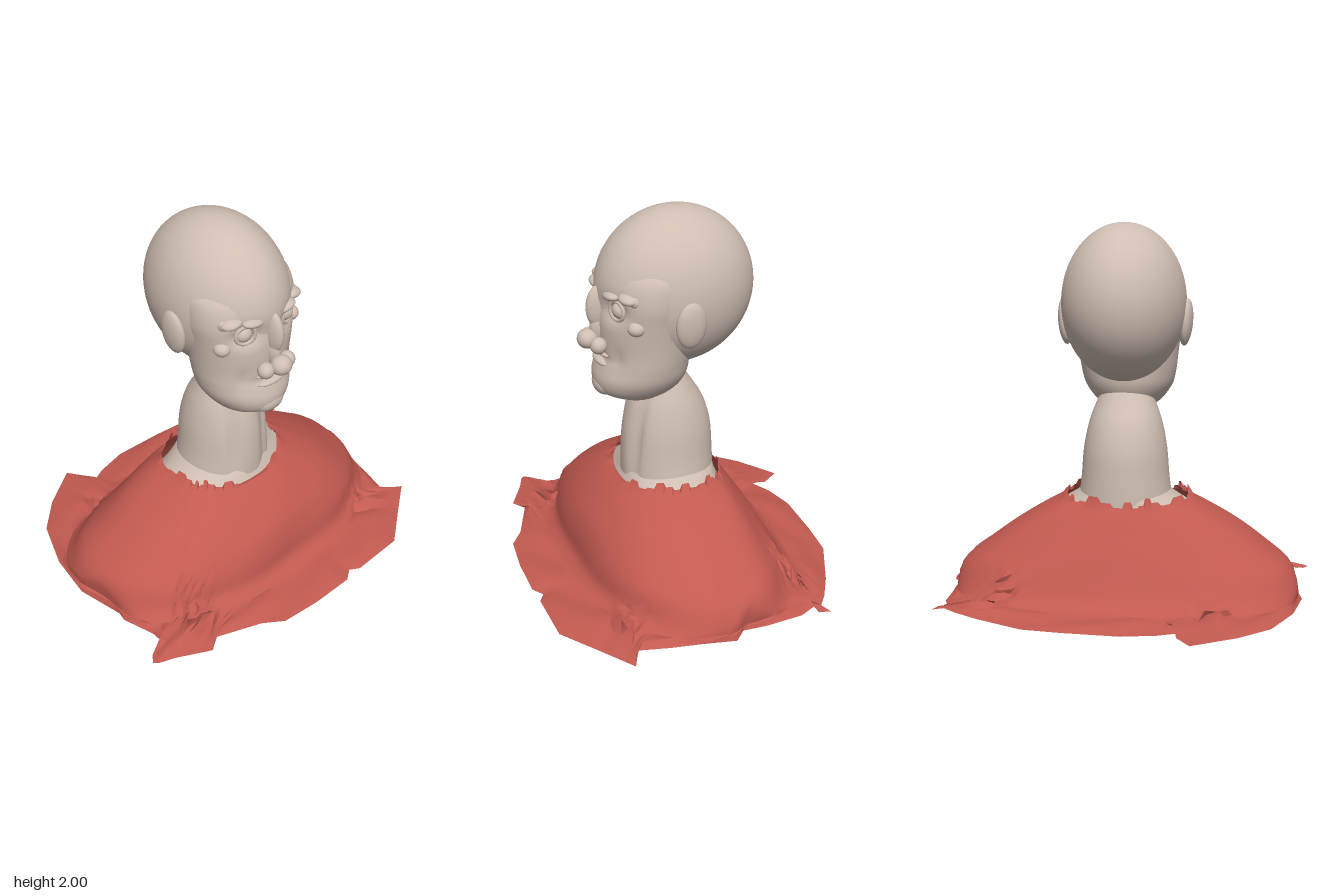
import * as THREE from 'three';
import { toCreasedNormals } from 'three/addons/utils/BufferGeometryUtils.js';

const CX = 0.012; // the figure sits a hair off centre
const skin = new THREE.MeshStandardMaterial({ color: 0xcfbeb2 });
skin.name = 'clay skin';
const red = new THREE.MeshStandardMaterial({ color: 0xc25a50, side: THREE.DoubleSide });
red.name = 'red cloth';

let seed = 7;
const rand = () => ((seed = (seed * 16807) % 2147483647) / 2147483647) * 2 - 1;

// Grid of points, rows running bottom to top, each row a closed loop from +x toward +z
function grid(rows) {
  const n = rows[0].length, pos = rows.flat(2), idx = [];
  for (let j = 0; j < rows.length - 1; j++) {
    for (let i = 0; i < n; i++) {
      const a = j * n + i, b = j * n + ((i + 1) % n);
      idx.push(a, a + n, b, b, a + n, b + n);
    }
  }
  const g = new THREE.BufferGeometry();
  g.setAttribute('position', new THREE.Float32BufferAttribute(pos, 3));
  g.setIndex(idx);
  g.computeVertexNormals();
  return g;
}

// Loft through oval sections [y, half width, front z, back z]
function loft(sections, n = 64) {
  return grid(sections.map(([y, w, f, b]) => Array.from({ length: n }, (_, i) => {
    const t = (i / n) * Math.PI * 2;
    return [CX + w * Math.cos(t), y, (f + b) / 2 + ((f - b) / 2) * Math.sin(t)];
  })));
}

// Smooth in-between sections
function refine(sections, k = 4) {
  const out = [], N = sections.length;
  const at = i => sections[Math.max(0, Math.min(N - 1, i))];
  for (let i = 0; i < N - 1; i++) {
    for (let s = 0; s < k; s++) {
      const u = s / k;
      out.push(at(i).map((p1, c) => {
        const p0 = at(i - 1)[c], p2 = at(i + 1)[c], p3 = at(i + 2)[c];
        return p1 + 0.5 * u * (p2 - p0 + u * (2 * p0 - 5 * p1 + 4 * p2 - p3 + u * (3 * (p1 - p2) + p3 - p0)));
      }));
    }
  }
  out.push(at(N - 1));
  return out;
}

// Push the front of a surface back (or forward) around given spots [x, y, rx, ry, depth]
function dent(g, spots) {
  const p = g.attributes.position;
  for (let i = 0; i < p.count; i++) {
    if (p.getZ(i) < 0.1) continue;
    let d = 0;
    for (const [x, y, rx, ry, depth] of spots) {
      d += depth * Math.exp(-(((p.getX(i) - CX - x) / rx) ** 2) - ((p.getY(i) - y) / ry) ** 2);
    }
    p.setZ(i, p.getZ(i) - d);
  }
  g.computeVertexNormals();
  return g;
}

export function createModel() {
  const model = new THREE.Group();
  const add = (name, geo, mat = skin) => {
    const m = new THREE.Mesh(geo, mat);
    m.name = name;
    model.add(m);
    return m;
  };
  const blob = (name, x, y, z, rx, ry, rz, tilt = 0) => {
    const m = add(name, new THREE.SphereGeometry(1, 24, 16));
    m.position.set(CX + x, y, z);
    m.scale.set(rx, ry, rz);
    m.rotation.z = tilt;
    return m;
  };

  // Plinth and hidden shoulders
  add('plinthAndShoulders', toCreasedNormals(loft([
    [0, 0, 0.04, 0.04], [0, 0.775, 0.47, -0.39], [0.12, 0.775, 0.47, -0.39], [0.2, 0.77, 0.46, -0.38],
    [0.32, 0.7, 0.43, -0.34], [0.44, 0.53, 0.38, -0.28], [0.53, 0.39, 0.32, -0.23],
    [0.59, 0.3, 0.27, -0.21], [0.62, 0.25, 0.265, -0.21], [0.68, 0.2, 0.2, -0.15],
  ], 72), 0.7));

  // Neck with two grooves down the throat
  add('neck', dent(loft(refine([
    [0.58, 0.245, 0.27, -0.215], [0.7, 0.228, 0.27, -0.212], [0.85, 0.215, 0.26, -0.2],
    [0.98, 0.19, 0.235, -0.16], [1.08, 0.155, 0.2, -0.1], [1.16, 0.12, 0.17, -0.05],
  ])), [[-0.1, 0.82, 0.03, 0.25, 0.025], [0.1, 0.82, 0.03, 0.25, 0.025]]));

  // Head: round cranium and a long jaw, with eye sockets pressed in
  const hollows = [[-0.135, 1.555, 0.07, 0.05, 0.045], [0.135, 1.555, 0.07, 0.05, 0.045],
    [0, 1.285, 0.1, 0.02, 0.02], [-0.15, 1.3, 0.02, 0.06, 0.012], [0.15, 1.3, 0.02, 0.06, 0.012]];
  const skull = new THREE.SphereGeometry(1, 64, 48);
  skull.scale(0.315, 0.4, 0.405).translate(CX, 1.6, -0.015);
  add('cranium', dent(skull, hollows));
  add('jaw', dent(loft(refine([
    [1.025, 0, 0.17, 0.17], [1.03, 0.07, 0.23, 0.11], [1.06, 0.135, 0.325, 0.05], [1.1, 0.182, 0.395, -0.03],
    [1.17, 0.228, 0.412, -0.07], [1.25, 0.248, 0.392, -0.08], [1.32, 0.257, 0.382, -0.09],
    [1.4, 0.267, 0.385, -0.1], [1.5, 0.282, 0.385, -0.1], [1.6, 0.296, 0.378, -0.1],
    [1.72, 0.28, 0.34, -0.1], [1.8, 0.2, 0.25, -0.05],
  ])), hollows));

  // Paired features
  for (const s of [-1, 1]) {
    const side = s > 0 ? 'left' : 'right';
    blob(side + 'Ear', s * 0.31, 1.5, 0.02, 0.035, 0.12, 0.078, s * -0.08);
    blob(side + 'Eye', s * 0.135, 1.56, 0.312, 0.046, 0.043, 0.042);
    const lid = add(side + 'Eyelid', new THREE.TorusGeometry(0.048, 0.011, 8, 28));
    lid.position.set(CX + s * 0.135, 1.558, 0.33);
    lid.rotation.y = s * 0.35;
    blob(side + 'InnerBrow', s * 0.1, 1.625, 0.345, 0.065, 0.024, 0.04, s * 0.12);
    blob(side + 'OuterBrow', s * 0.19, 1.635, 0.29, 0.06, 0.027, 0.05, s * -0.12);
    blob(side + 'BrowEnd', s * 0.225, 1.625, 0.268, 0.025, 0.03, 0.03);
    blob(side + 'CheekBag', s * 0.225, 1.49, 0.265, 0.042, 0.038, 0.045);
    blob(side + 'Nostril', s * 0.07, 1.362, 0.405, 0.042, 0.042, 0.042);
  }

  // Nose, lips and chin
  blob('noseBridge', 0, 1.535, 0.37, 0.036, 0.115, 0.072);
  blob('noseRidge', 0, 1.43, 0.375, 0.034, 0.08, 0.05);
  blob('noseTip', 0, 1.378, 0.437, 0.055, 0.05, 0.053);
  blob('upperLip', 0, 1.305, 0.365, 0.09, 0.018, 0.03);
  blob('lowerLip', 0, 1.258, 0.372, 0.085, 0.02, 0.034);
  blob('chin', 0, 1.13, 0.36, 0.09, 0.06, 0.056);

  // Ragged outline of the cloth on the ground, as x, z
  const hem = [[0.94, 0.03], [0.9, 0.2], [0.87, 0.35], [0.83, 0.5], [0.935, 0.55], [0.75, 0.68], [0.57, 0.81],
    [0.28, 0.82], [0.23, 0.79], [0.17, 0.83], [-0.06, 0.83], [-0.27, 0.81], [-0.37, 0.74], [-0.6, 0.65],
    [-0.67, 0.7], [-0.84, 0.61], [-0.92, 0.58], [-0.94, 0.56], [-0.91, 0.52], [-0.82, 0.53], [-0.82, 0.42],
    [-0.87, 0.25], [-0.86, 0.2], [-0.91, -0.05], [-0.87, -0.3], [-0.77, -0.55], [-0.62, -0.7], [-0.41, -0.84],
    [-0.34, -0.74], [-0.37, -0.66], [-0.25, -0.72], [-0.08, -0.76], [0.2, -0.75], [0.4, -0.73], [0.65, -0.61],
    [0.78, -0.53], [0.89, -0.44], [0.905, -0.5], [0.83, -0.46], [0.88, -0.35], [0.89, -0.15], [0.88, -0.03]];
  const K = 4, edge = [];
  hem.forEach((p, i) => {
    const q = hem[(i + 1) % hem.length];
    for (let k = 0; k < K; k++) edge.push(p.map((v, c) => v + ((q[c] - v) * k) / K));
  });
  const n = edge.length;
  // Evened-out direction of every fold line
  const dirs = edge.map((_, i) => {
    let x = 0, z = 0;
    for (let k = -9; k <= 9; k++) {
      const e = edge[(i + k + n) % n], l = Math.hypot(...e);
      x += e[0] / l;
      z += e[1] / l;
    }
    const l = Math.hypot(x, z);
    return [x / l, z / l];
  });

  // Drape sections: side y, half width, front y, front z, back z
  const drape = refine([
    [0.12, 0.905, 0.125, 0.62, 0.55], [0.17, 0.89, 0.17, 0.56, 0.49], [0.265, 0.84, 0.27, 0.54, 0.43],
    [0.345, 0.74, 0.38, 0.5, 0.37], [0.45, 0.6, 0.47, 0.43, 0.31], [0.54, 0.45, 0.54, 0.36, 0.265],
    [0.615, 0.315, 0.592, 0.285, 0.225],
  ], 3);
  const rings = drape.map(([ys, w, yf, f, b], j) => dirs.map(([c, s], i) => {
    const e = 2.4, d = s > 0 ? f : b;
    let r = ((Math.abs(c) / w) ** e + (Math.abs(s) / d) ** e) ** (-1 / e);
    r = Math.min(r, 0.98 * Math.hypot(...edge[i]));
    let y = ys * c * c + yf * s * s;
    if (j === drape.length - 1) { // torn neck opening
      const tooth = [0.02, -0.01, 0.01, 0.035, 0, -0.012][Math.floor(i / 4) % 6];
      y += Math.abs(c) < 0.35 && s > 0 ? -0.02 : tooth;
    } else {
      r *= 1 + 0.008 * Math.sin(i * 0.27 + j * 0.35);
    }
    return [c * r, y, s * r];
  }));
  // Loose cloth lying around the base, slightly wrinkled
  const skirt = [0, 0.25, 0.5, 0.75].map(u => edge.map(([x, z], i) => {
    const [kx, ky, kz] = rings[0][i];
    const y = 0.1 + (ky - 0.1) * u + (u > 0 ? 0.008 * (1 + Math.sin(i * 0.5 + u * 5)) : 0);
    return [x + (kx - x) * u, y, z + (kz - z) * u];
  }));
  const rows = [...skirt, ...rings];
  // Bunched folds at the four corners
  const bunches = [[-0.48, -0.52], [0.6, -0.46], [0.66, 0.54], [-0.6, 0.54]];
  rows.forEach((row, j) => row.forEach(p => {
    for (const [bx, bz] of bunches) {
      const a = Math.exp(-((p[0] - bx) ** 2 + (p[2] - bz) ** 2) / 0.011);
      if (j === 0 || a < 0.05) continue;
      p[0] += a * rand() * 0.025;
      p[1] = Math.max(0.1, p[1] + a * (0.015 + rand() * 0.03));
      p[2] += a * rand() * 0.025;
    }
  }));
  add('drapedCloth', toCreasedNormals(grid(rows), 0.75), red);

  return model;
}
